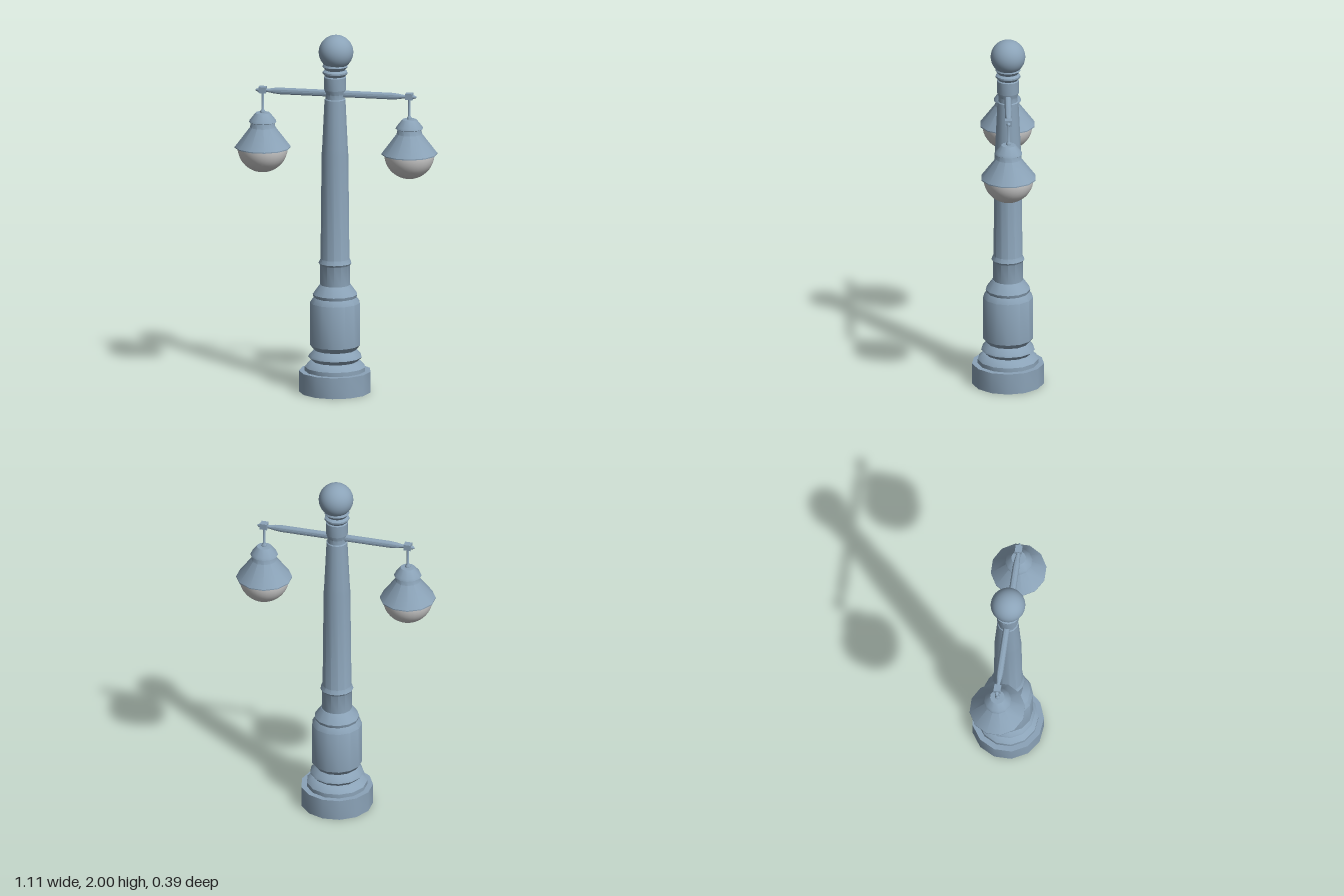
import * as THREE from 'three';
import { toCreasedNormals } from 'three/addons/utils/BufferGeometryUtils.js';

const metal = new THREE.MeshStandardMaterial({ color: 0x8ba3b8 });
const glass = new THREE.MeshStandardMaterial({ color: 0xcccccc });

function add(parent, name, geometry, material = metal) {
  const mesh = new THREE.Mesh(geometry, material);
  mesh.name = name;
  parent.add(mesh);
  return mesh;
}

// Turned part from [radius, height] pairs, bottom to top
function turned(profile, sides, phase = 0) {
  const points = profile.map(([r, y]) => new THREE.Vector2(r, y));
  return toCreasedNormals(new THREE.LatheGeometry(points, sides, phase), 0.6);
}

// Hanging lamp, placed at the end of an arm
function createLamp() {
  const lamp = new THREE.Group();
  lamp.name = 'lamp';
  add(lamp, 'shade', turned([
    [0, 1.35], [0.153, 1.35], [0.153, 1.356], [0.07, 1.465], [0.065, 1.49],
    [0.076, 1.495], [0.07, 1.508], [0.04, 1.545], [0, 1.548],
  ], 12, Math.PI / 12));
  add(lamp, 'bulb', new THREE.SphereGeometry(0.138, 32, 12, 0, Math.PI * 2, Math.PI / 2, Math.PI / 2), glass)
    .position.y = 1.352;
  add(lamp, 'hangingRod', turned([
    [0, 1.54], [0.014, 1.545], [0.014, 1.555], [0.007, 1.565], [0.007, 1.67], [0, 1.67],
  ], 10));
  // Clamp holding the rod to the arm
  add(lamp, 'clamp', new THREE.BoxGeometry(0.04, 0.034, 0.038)).position.y = 1.675;
  return lamp;
}

export function createModel() {
  const model = new THREE.Group();
  model.name = 'streetLamp';

  // Thirteen-sided post, with one corner towards +x
  const post = new THREE.Group();
  post.name = 'post';
  post.position.x = -0.005;
  model.add(post);
  const phase = Math.PI / 2;
  add(post, 'base', turned([
    [0, 0], [0.198, 0], [0.198, 0.117], [0, 0.117],
  ], 13, phase));
  add(post, 'pedestal', turned([
    [0, 0.115], [0.167, 0.115], [0.167, 0.14], [0.14, 0.168], [0.125, 0.172],
    [0.148, 0.195], [0.143, 0.206], [0.116, 0.235], [0.138, 0.262], [0.138, 0.5],
    [0.118, 0.53], [0.123, 0.547], [0.085, 0.6], [0, 0.6],
  ], 13, phase));
  add(post, 'shaft', turned([
    [0, 0.595], [0.083, 0.595], [0.083, 0.71], [0.091, 0.722], [0.08, 0.745],
    [0.074, 1.33], [0.071, 1.37], [0.058, 1.64], [0.053, 1.645], [0.051, 1.67],
    [0.058, 1.69], [0.06, 1.705], [0, 1.705],
  ], 13, phase));
  add(post, 'neck', turned([
    [0, 1.69], [0.06, 1.695], [0.061, 1.765], [0.055, 1.77], [0.068, 1.786],
    [0.068, 1.795], [0.054, 1.805], [0.07, 1.825], [0.06, 1.845], [0, 1.845],
  ], 13, phase));
  add(post, 'finial', new THREE.SphereGeometry(0.095, 32, 20)).position.set(0.005, 1.905, 0);

  // Tapered arms and their lamps
  for (const side of [-1, 1]) {
    const arm = add(model, 'arm', turned([
      [0, 0], [0.019, 0], [0.019, 0.31], [0.016, 0.345], [0.009, 0.385],
      [0.011, 0.4], [0.011, 0.434], [0.005, 0.447], [0, 0.447],
    ], 12));
    arm.position.y = 1.672;
    arm.rotation.z = -side * Math.PI / 2;
    const lamp = createLamp();
    lamp.position.x = side * 0.409;
    model.add(lamp);
  }
  return model;
}
